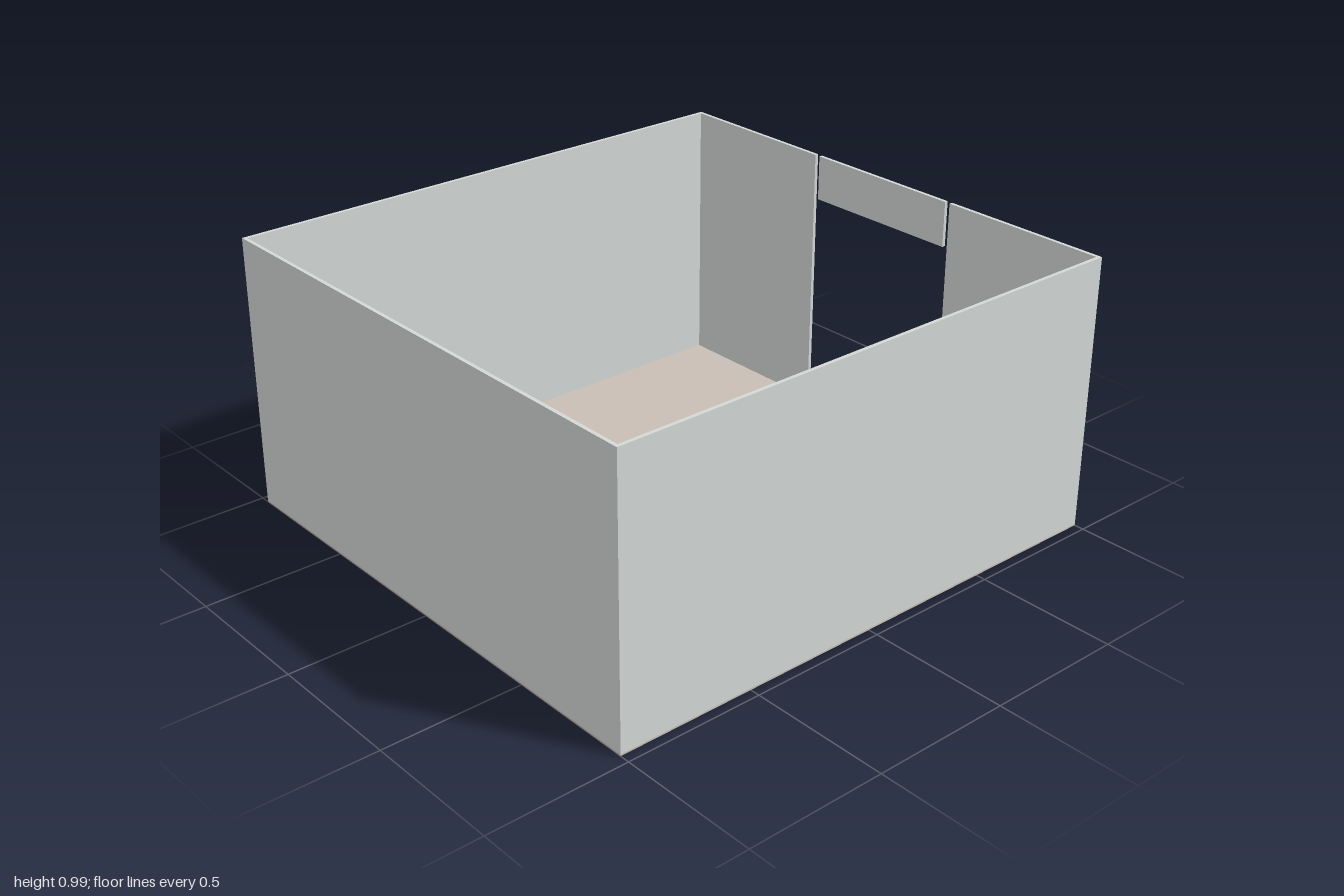
import * as THREE from 'three';

export function createModel() {
  const model = new THREE.Group();
  model.name = 'openRoom';

  const wallMaterial = new THREE.MeshStandardMaterial({ color: 0xd3d8d5 });
  const floorMaterial = new THREE.MeshStandardMaterial({ color: 0xc8beb4 });

  const halfX = 1, halfZ = 0.965, height = 0.985;
  const floorTop = 0.006, thick = 0.013;
  const doorHalf = 0.325, lintelHalf = 0.305, lintelBottom = 0.82;

  // Box given by its extents along each axis
  function slab(name, material, [x0, x1], [y0, y1], [z0, z1]) {
    const mesh = new THREE.Mesh(new THREE.BoxGeometry(x1 - x0, y1 - y0, z1 - z0), material);
    mesh.position.set((x0 + x1) / 2, (y0 + y1) / 2, (z0 + z1) / 2);
    mesh.name = name;
    model.add(mesh);
  }

  const fullX = [-halfX, halfX];
  const wallY = [floorTop, height];
  const innerZ = halfZ - thick;
  const doorWallX = [halfX - thick, halfX];

  // Floor
  slab('floor', floorMaterial, fullX, [0, floorTop], [-halfZ, halfZ]);

  // Closed walls
  slab('frontWall', wallMaterial, fullX, wallY, [innerZ, halfZ]);
  slab('backWall', wallMaterial, fullX, wallY, [-halfZ, -innerZ]);
  slab('rearSideWall', wallMaterial, [-halfX, -halfX + thick], wallY, [-innerZ, innerZ]);

  // Doorway wall: two panels and a lintel with a narrow gap on each side
  slab('doorWallFront', wallMaterial, doorWallX, wallY, [doorHalf, innerZ]);
  slab('doorWallBack', wallMaterial, doorWallX, wallY, [-innerZ, -doorHalf]);
  slab('doorLintel', wallMaterial, doorWallX, [lintelBottom, height], [-lintelHalf, lintelHalf]);

  return model;
}
